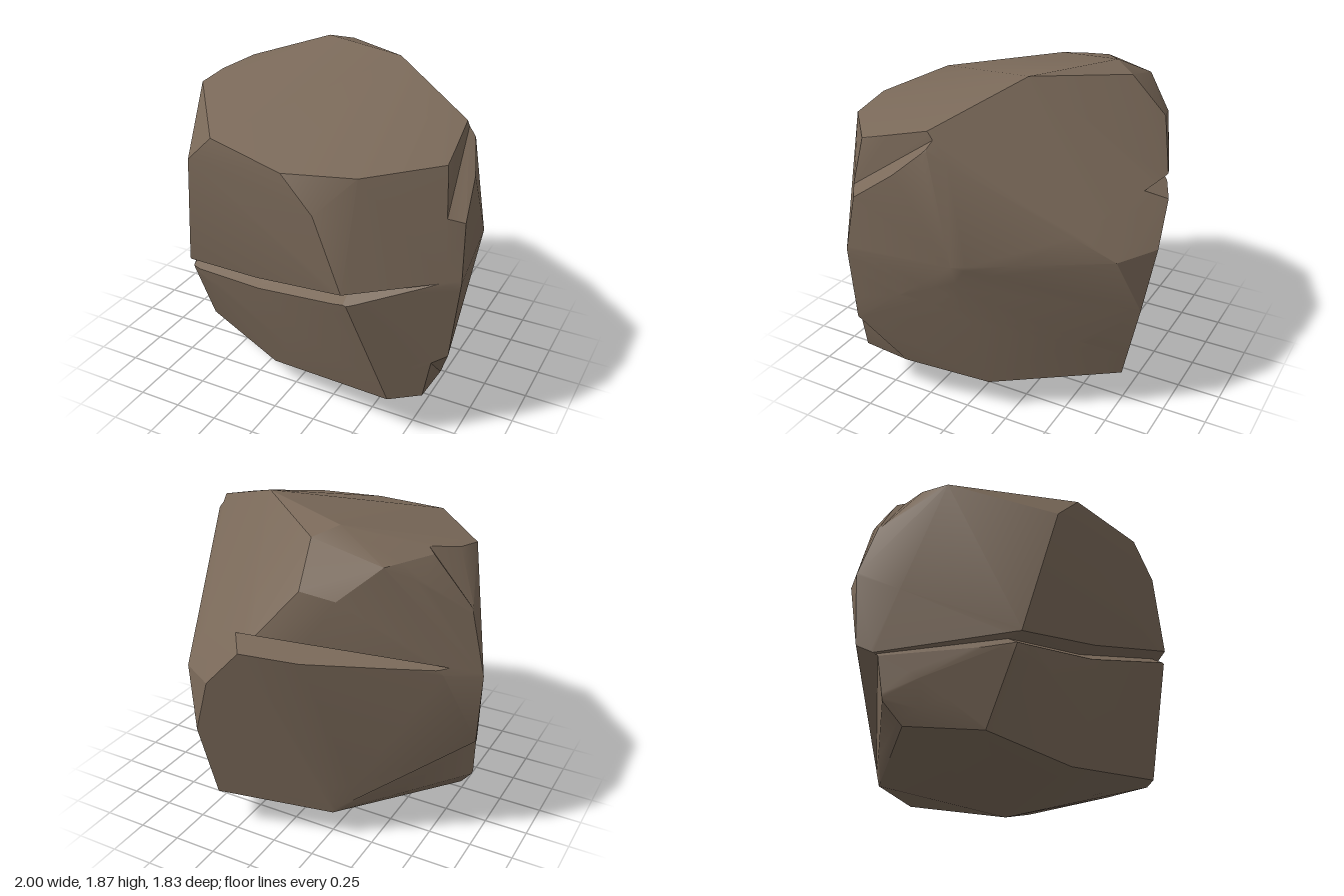
import * as THREE from 'three';
import { ConvexGeometry } from 'three/addons/geometries/ConvexGeometry.js';
import { toCreasedNormals } from 'three/addons/utils/BufferGeometryUtils.js';

const V = (x, y, z) => new THREE.Vector3(x, y, z);

// Plane through a, b, c, turned so that the point "inside" is on its positive side
function planeTowards(a, b, c, inside) {
  const p = new THREE.Plane().setFromCoplanarPoints(a, b, c);
  return p.distanceToPoint(inside) < 0 ? p.negate() : p;
}

// Part of a polygon on the positive side of a plane
function clip(poly, plane) {
  const out = [];
  poly.forEach((a, i) => {
    const b = poly[(i + 1) % poly.length];
    const da = plane.distanceToPoint(a), db = plane.distanceToPoint(b);
    if (da >= 0) out.push(a);
    if ((da > 0 && db < 0) || (da < 0 && db > 0)) out.push(a.clone().lerp(b, da / (da - db)));
  });
  return out.length > 2 ? out : [];
}

// Large square lying on a plane, facing along its normal
function sheet(plane) {
  const q = new THREE.Quaternion().setFromUnitVectors(V(0, 0, 1), plane.normal);
  const o = plane.coplanarPoint(V(0, 0, 0));
  return [[-4, -4], [4, -4], [4, 4], [-4, 4]].map(([x, y]) => V(x, y, 0).applyQuaternion(q).add(o));
}

// Wedge with a ridge line a-b and two walls reaching out to u and l;
// ends are extra planes that bound it without making a wall
const wedge = (a, b, u, l, ends = []) =>
  ({ walls: [planeTowards(a, b, u, l), planeTowards(a, b, l, u)], ends });

// Cuts a wedge out of the rock surface and adds the wedge walls
function carve(polys, hullPlanes, { walls, ends }) {
  const out = [];
  const cell = [...walls, ...ends];
  for (const poly of polys) {
    let rest = poly;
    for (const p of cell) {
      const outside = clip(rest, p.clone().negate());
      if (outside.length) out.push(outside);
      rest = clip(rest, p);
      if (!rest.length) break;
    }
  }
  for (const wall of walls) {
    let face = sheet(wall);
    for (const p of [...cell.filter((c) => c !== wall), ...hullPlanes]) face = clip(face, p);
    if (face.length) out.push(face);
  }
  return out;
}

export function createModel() {
  const stone = new THREE.MeshStandardMaterial({ color: 0x7a6959 });
  stone.name = 'brown stone';

  // Corners of the uncut boulder, in rings from the ground up
  const brow = V(0.98, 1.31, 0.5), chipTop = V(0.955, 0.55, 0.565);
  const chipFront = V(0.84, 0.285, 0.61), chipBack = V(0.84, 0.26, 0.34);
  const underside = [
    V(0.10, 0, 0.04), V(-0.11, 0.15, 0.55), V(-0.66, 0.21, 0.35), V(-0.84, 0.24, -0.02),
    V(-0.28, 0.17, -0.56), V(0.35, 0.24, -0.775), V(0.72, 0.19, -0.13),
    V(0.68, 0.27, 0.71), chipFront, chipBack,
  ];
  const waist = [
    V(-0.935, 0.38, -0.1), V(-0.98, 0.68, -0.23), V(-1, 1.08, -0.24), V(-0.66, 0.71, 0.56),
    V(0.5, 0.98, 0.905), V(1, 1, 0.56), V(0.91, 1, -0.03), V(0.5, 1.02, -0.775),
    V(0.39, 0.7, -0.88), V(0.28, 1.03, -0.915), V(0.08, 1.25, -0.885), V(-0.2, 1.25, -0.78),
    V(-0.84, 1.12, -0.4), chipTop,
  ];
  const shoulders = [
    V(0.35, 1.39, 0.915), V(-0.51, 1.43, 0.71), V(-0.9, 1.41, -0.19),
    V(0.94, 1.5, 0.3), V(0.87, 1.6, 0.11), brow,
  ];
  const crown = [
    V(0.87, 1.6, 0.5), V(0.53, 1.575, 0.79), V(0.16, 1.565, 0.885), V(-0.33, 1.6, 0.75),
    V(-0.77, 1.65, 0.17), V(-0.73, 1.7, -0.15), V(-0.7, 1.59, -0.36), V(-0.54, 1.695, -0.51),
    V(-0.37, 1.545, -0.69), V(-0.19, 1.585, -0.74), V(-0.155, 1.8, -0.55), V(-0.25, 1.84, -0.42),
    V(0.32, 1.87, -0.17), V(0.83, 1.69, 0.13),
  ];
  const hull = new ConvexGeometry([...underside, ...waist, ...shoulders, ...crown]);
  const pos = hull.getAttribute('position');
  let polys = [];
  const hullPlanes = [];
  for (let i = 0; i < pos.count; i += 3) {
    const tri = [0, 1, 2].map((k) => new THREE.Vector3().fromBufferAttribute(pos, i + k));
    polys.push(tri);
    hullPlanes.push(new THREE.Plane().setFromCoplanarPoints(...tri).negate());
  }

  // Long front crack: wedges joined end to end along a bent ridge
  const ridge = [
    V(-0.93, 0.62, -0.11), V(-0.66, 0.675, 0.48), V(-0.11, 0.78, 0.62),
    V(0.5, 0.955, 0.82), V(0.83, 1, 0.66),
  ];
  const up = V(0, 0.03, 0.09), down = V(0, -0.055, 0.09);
  const last = ridge.length - 2;
  const cracks = [];
  for (let i = 0; i <= last; i++) {
    const a = ridge[i], b = ridge[i + 1];
    // the tip wedges open towards the middle of the crack
    const base = i === last ? a : b;
    const ends = [];
    if (i > 0) ends.push(new THREE.Plane(V(1, 0, 0), -a.x));
    if (i < last) ends.push(new THREE.Plane(V(-1, 0, 0), b.x));
    cracks.push(wedge(a, b, base.clone().add(up), base.clone().add(down), ends));
  }
  // Back crack
  cracks.push(wedge(V(0.25, 1.305, -0.81), V(-0.9, 1.15, -0.35), V(0.21, 1.355, -0.9), V(0.21, 1.265, -0.9)));
  // Chipped upper edge, lower corner and crown edge
  cracks.push(wedge(V(0.83, 1.64, 0.11), V(0.91, 1.31, 0.6), V(0.87, 1.6, 0.48), brow));
  cracks.push(wedge(V(0.88, 0.51, 0.61), chipBack, chipTop, chipFront));
  cracks.push(wedge(V(-0.9, 1.41, -0.17), V(-0.73, 1.62, -0.19), V(-0.74, 1.66, -0.075), V(-0.77, 1.62, -0.25)));
  // Flake broken from the lower back corner
  cracks.push(wedge(V(-0.55, 0.36, -0.39), V(-0.95, 0.61, -0.11), V(-0.98, 0.67, -0.22), V(-0.7, 0.2, -0.24)));
  for (const c of cracks) polys = carve(polys, hullPlanes, c);

  // Fan each polygon into triangles
  const verts = [];
  for (const p of polys)
    for (let i = 1; i < p.length - 1; i++) verts.push(p[0], p[i], p[i + 1]);
  const geometry = toCreasedNormals(new THREE.BufferGeometry().setFromPoints(verts), 0.4);

  const boulder = new THREE.Mesh(geometry, stone);
  boulder.name = 'boulder';
  const group = new THREE.Group();
  group.name = 'crackedRock';
  group.add(boulder);
  return group;
}
